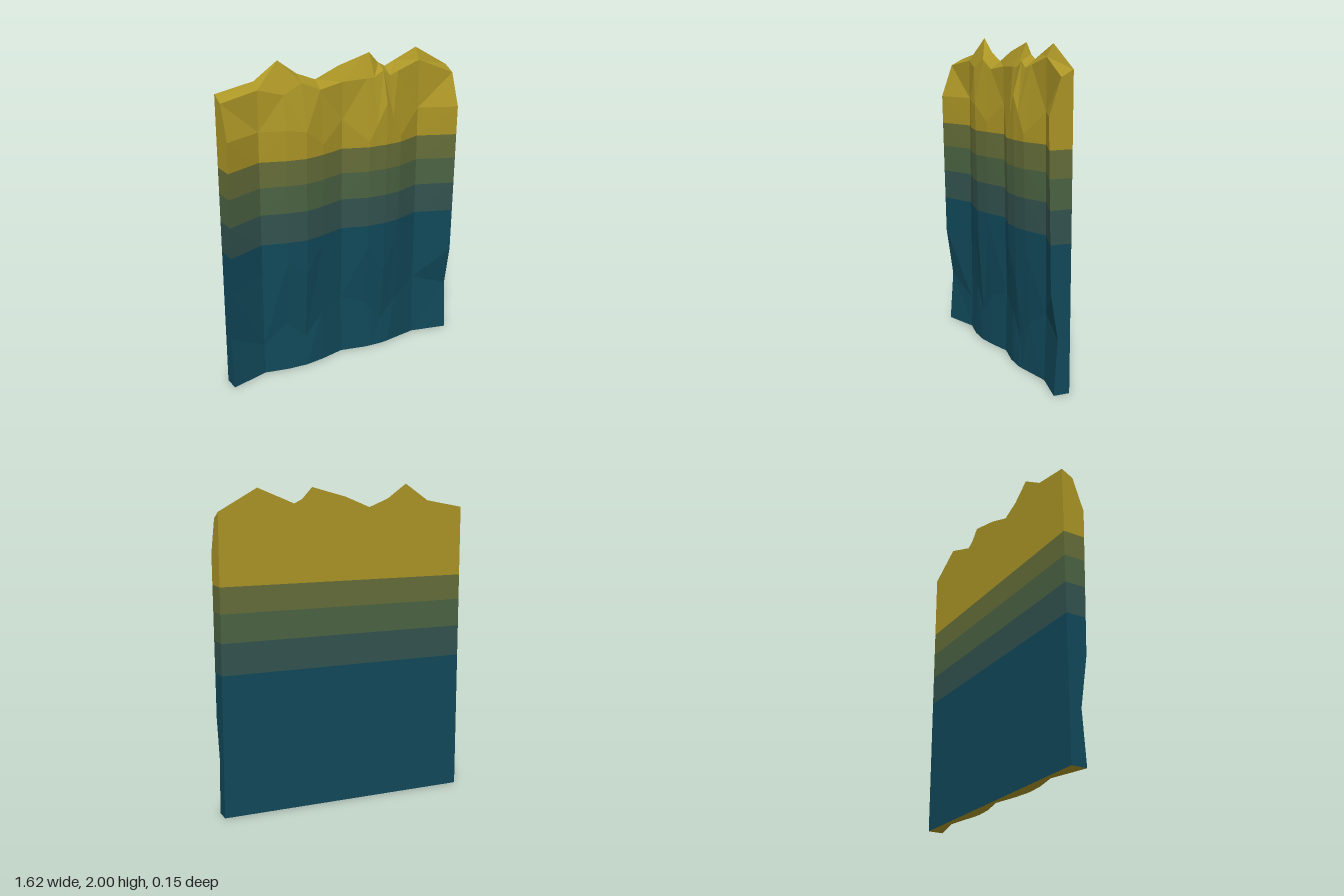
import * as THREE from 'three';

const BACK = -0.075;
const BANDS = [0.885, 1.08, 1.255, 1.415];

// One rock column per row: x, then (y, z) of low dent, middle, shoulder, crest,
// with the base depth first and the height of the back rim last.
const COLUMNS = [
  // x, baseZ, lowY, lowZ, midY, midZ, shoulderY, shoulderZ, crestY, crestZ, topY
  [-0.81, 0.025, 0.33, 0.003, 0.65, 0.05, 1.6, 0.073, 1.81, 0, 1.85],
  [-0.565, -0.04, 0.2, -0.045, 0.7, -0.04, 1.6, -0.033, 1.85, -0.03, 1.895],
  [-0.41, -0.005, 0.33, -0.02, 0.75, 0.005, 1.6, 0.025, 1.81, 0, 2.0],
  [-0.285, 0.005, 0.2, -0.01, 0.65, 0.025, 1.58, 0.048, 1.865, -0.01, 1.91],
  [-0.16, -0.01, 0.33, -0.02, 0.83, 0.005, 1.48, 0.022, 1.81, -0.01, 1.86],
  [0, -0.045, 0.39, -0.05, 0.75, -0.04, 1.6, -0.027, 1.835, -0.025, 1.925],
  [0.165, -0.005, 0.33, -0.015, 0.73, 0.015, 1.45, 0.033, 1.84, -0.01, 1.97],
  [0.22, 0, 0.27, -0.01, 0.65, 0.018, 1.55, 0.036, 1.84, -0.01, 1.985],
  [0.285, 0.005, 0.18, -0.01, 0.55, 0.022, 1.68, 0.043, 1.88, -0.01, 1.915],
  [0.335, 0, 0.24, -0.012, 0.65, 0.018, 1.58, 0.036, 1.84, -0.012, 1.89],
  [0.4, -0.01, 0.3, -0.015, 0.75, 0.01, 1.46, 0.03, 1.86, -0.02, 1.917],
  [0.565, -0.035, 0.41, -0.045, 0.75, -0.04, 1.6, -0.033, 1.91, -0.033, 1.985],
  [0.805, 0.025, 0.33, 0.003, 0.6, 0.05, 1.6, 0.073, 1.81, 0, 1.85],
];

// Full front outline of one column, with a point at every colour boundary
function frontProfile([x, bz, ly, lz, my, mz, sy, sz, cy, cz, top]) {
  const bands = BANDS.map((y) => [y, mz + ((sz - mz) * (y - my)) / (sy - my)]);
  return [[0, bz], [ly, lz], [my, mz], ...bands, [sy, sz], [cy, cz], [top, BACK]]
    .map(([y, z]) => new THREE.Vector3(x, y, z));
}

export function createModel() {
  const group = new THREE.Group();
  const material = (name, color) => {
    const m = new THREE.MeshStandardMaterial({ color });
    m.name = name;
    return m;
  };
  const layers = [
    { name: 'lowerRock', rows: [0, 1, 2], mat: material('deepTeal', 0x11495a) },
    { name: 'lowBand', rows: [3], mat: material('slateGreen', 0x33534f) },
    { name: 'middleBand', rows: [4], mat: material('mossGreen', 0x4b6443) },
    { name: 'highBand', rows: [5], mat: material('oliveGreen', 0x666e39) },
    { name: 'upperRock', rows: [6, 7, 8], mat: material('ochre', 0xac9626) },
  ];

  const front = COLUMNS.map(frontProfile);
  const back = front.map((col) => col.map((p) => new THREE.Vector3(p.x, p.y, BACK)));
  const last = front.length - 1;

  // Adds a faceted quad, corners counter-clockwise from outside
  const quad = (out, a, b, c, d, flip) => {
    const tris = flip ? [a, b, d, b, c, d] : [a, b, c, a, c, d];
    tris.forEach((p) => out.push(p.x, p.y, p.z));
  };
  const addMesh = (name, points, mat) => {
    const geo = new THREE.BufferGeometry();
    geo.setAttribute('position', new THREE.Float32BufferAttribute(points, 3));
    geo.computeVertexNormals();
    const mesh = new THREE.Mesh(geo, mat);
    mesh.name = name;
    group.add(mesh);
  };

  // Each coloured layer wraps the front, the flat back and both ends
  for (const { name, rows, mat } of layers) {
    const pts = [];
    for (const r of rows) {
      for (let i = 0; i < last; i++) {
        const f = front[i], g = front[i + 1], b = back[i], c = back[i + 1];
        quad(pts, f[r], g[r], g[r + 1], f[r + 1], i % 2 === 0);
        quad(pts, c[r], b[r], b[r + 1], c[r + 1]);
      }
      quad(pts, back[0][r], front[0][r], front[0][r + 1], back[0][r + 1]);
      quad(pts, front[last][r], back[last][r], back[last][r + 1], front[last][r + 1]);
    }
    addMesh(name, pts, mat);
  }

  // Underside
  const base = [];
  for (let i = 0; i < last; i++) {
    quad(base, back[i][0], back[i + 1][0], front[i + 1][0], front[i][0]);
  }
  addMesh('underside', base, layers[4].mat);

  return group;
}
